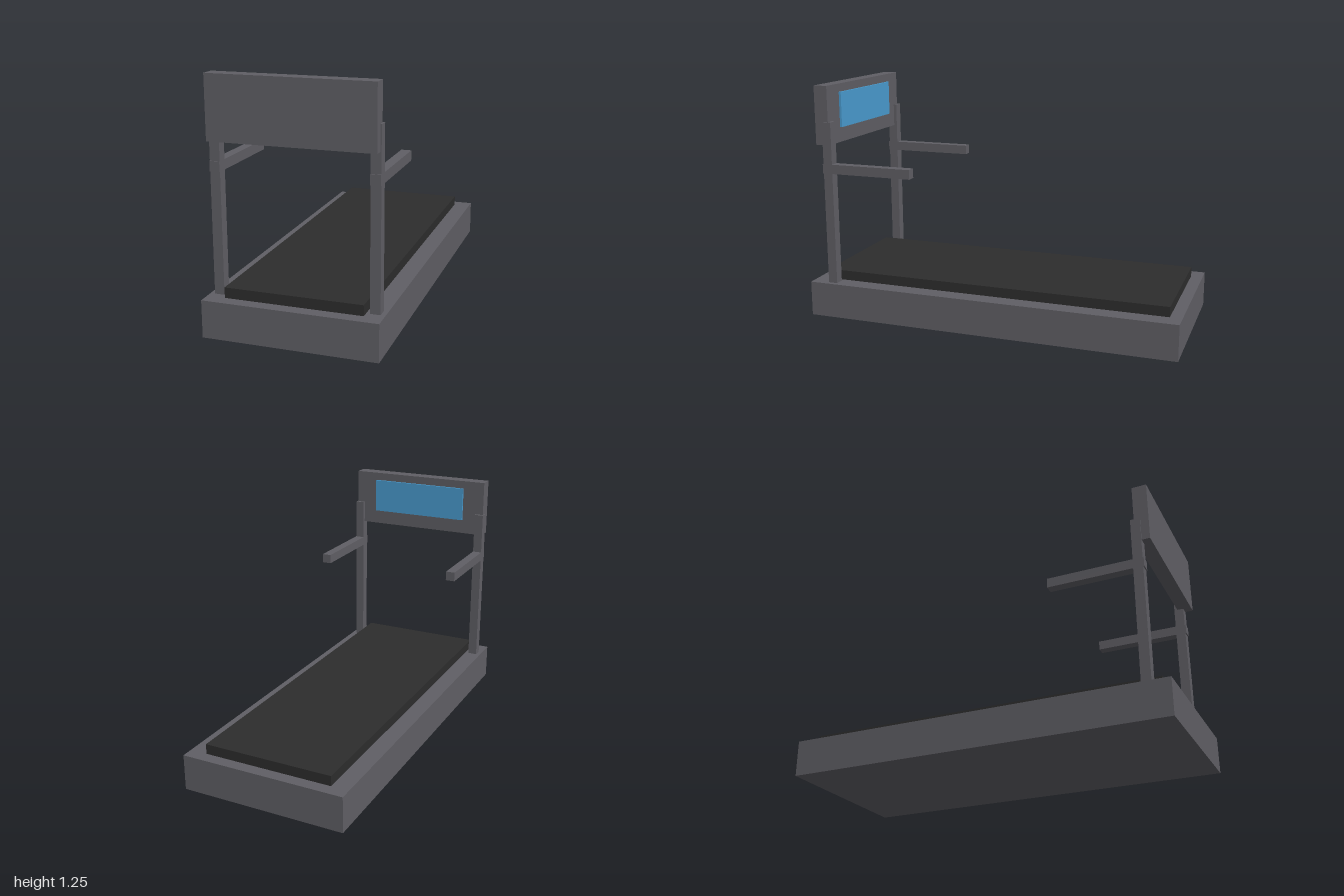
import * as THREE from 'three';

const frameGrey = new THREE.MeshStandardMaterial({ color: 0x605f65 });
frameGrey.name = 'frameGrey';
const beltBlack = new THREE.MeshStandardMaterial({ color: 0x2d2d2d });
beltBlack.name = 'beltBlack';
const screenBlue = new THREE.MeshStandardMaterial({ color: 0x4a9cd0 });
screenBlue.name = 'screenBlue';

// Box given by its extents along each axis
function block(name, material, [x0, x1], [y0, y1], [z0, z1]) {
  const mesh = new THREE.Mesh(new THREE.BoxGeometry(x1 - x0, y1 - y0, z1 - z0), material);
  mesh.position.set((x0 + x1) / 2, (y0 + y1) / 2, (z0 + z1) / 2);
  mesh.name = name;
  return mesh;
}

export function createModel() {
  const model = new THREE.Group();
  model.name = 'treadmill';

  // Base and raised running deck
  model.add(block('base', frameGrey, [-0.436, 0.436], [0, 0.1875], [-1, 1]));
  model.add(block('runningBelt', beltBlack, [-0.344, 0.344], [0.1875, 0.24], [-0.9375, 0.9375]));

  // Uprights and handrails, mirrored
  for (const [side, s] of [['left', 1], ['right', -1]]) {
    const x = s > 0 ? [0.3625, 0.4125] : [-0.4125, -0.3625];
    model.add(block(side + 'Upright', frameGrey, x, [0.1875, 1.063], [0.853, 0.903]));
    model.add(block(side + 'Handrail', frameGrey, x, [0.79, 0.84], [0.408, 0.908]));
  }

  // Console with its screen facing the runner
  model.add(block('console', frameGrey, [-0.406, 0.406], [0.94, 1.252], [0.87, 0.945]));
  model.add(block('screen', screenBlue, [-0.281, 0.281], [1.02, 1.208], [0.858, 0.87]));

  return model;
}
